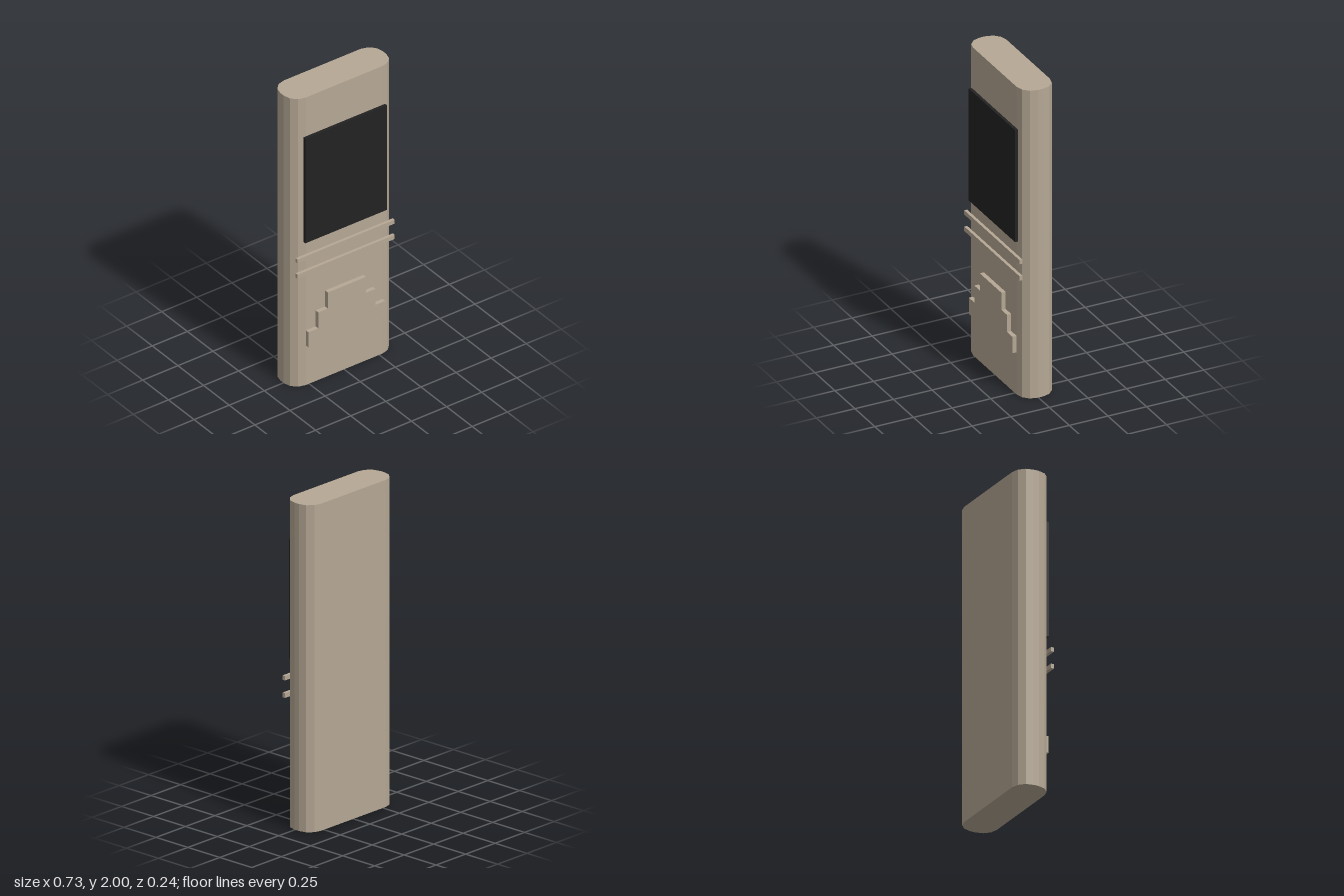
import * as THREE from 'three';

export function createModel() {
  const model = new THREE.Group();
  const casing = new THREE.MeshStandardMaterial({ color: 0xb5a794 });
  casing.name = 'tan casing';
  const glass = new THREE.MeshStandardMaterial({ color: 0x222222 });
  glass.name = 'black screen';

  const add = (name, geometry, material) => {
    const mesh = new THREE.Mesh(geometry, material);
    mesh.name = name;
    model.add(mesh);
  };
  const extrude = (points, depth) =>
    new THREE.ExtrudeGeometry(new THREE.Shape(points), { depth, bevelEnabled: false });

  const FRONT = 0.094, BACK = -0.122, HALF_WIDTH = 0.364, RADIUS = 0.091;

  // Upright slab with corners faceted in three steps
  const outline = [];
  const cx = HALF_WIDTH - RADIUS;
  const corners = [[cx, -BACK - RADIUS], [-cx, -BACK - RADIUS], [-cx, -FRONT + RADIUS], [cx, -FRONT + RADIUS]];
  corners.forEach(([x, y], quarter) => {
    for (let i = 0; i <= 3; i++) {
      const a = (quarter + i / 3) * Math.PI / 2;
      outline.push(new THREE.Vector2(x + RADIUS * Math.cos(a), y + RADIUS * Math.sin(a)));
    }
  });
  add('body', extrude(outline, 2).rotateX(-Math.PI / 2), casing);

  // Plate standing on the front face
  const plate = (name, halfWidth, y0, y1, depth, material) =>
    add(name, new THREE.BoxGeometry(halfWidth * 2, y1 - y0, depth)
      .translate(0, (y0 + y1) / 2, FRONT + depth / 2), material);

  plate('screen', 0.291, 1.003, 1.73, 0.019, glass);
  plate('upperBar', 0.346, 0.885, 0.912, 0.019, casing);
  plate('lowerBar', 0.346, 0.778, 0.807, 0.019, casing);

  // Raised panel in three steps, mirrored about its centre
  const rightSide = [[0.273, 0.275], [0.273, 0.381], [0.204, 0.381], [0.204, 0.492], [0.136, 0.492], [0.136, 0.603]];
  const steps = [...rightSide, ...rightSide.map(([x, y]) => [-x, y]).reverse()]
    .map(([x, y]) => new THREE.Vector2(x, y));
  add('steppedPanel', extrude(steps, 0.027).translate(0, 0, FRONT), casing);

  return model;
}
